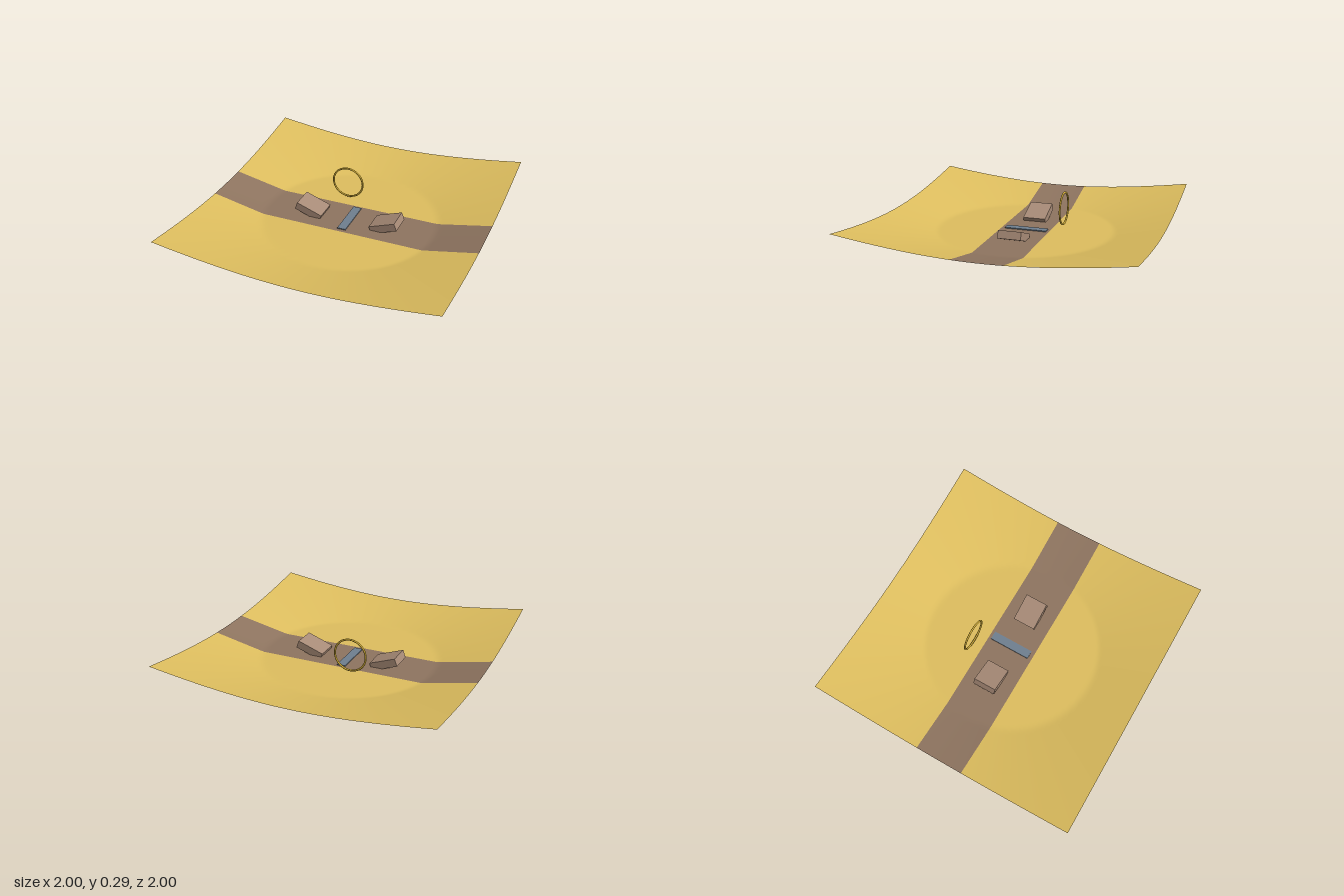
import * as THREE from 'three';

const paint = (color, extra = {}) => new THREE.MeshStandardMaterial({ color, ...extra });

function addMesh(parent, name, geometry, material, x = 0, y = 0, z = 0) {
  const mesh = new THREE.Mesh(geometry, material);
  mesh.name = name;
  mesh.position.set(x, y, z);
  parent.add(mesh);
  return mesh;
}

// Flat disc in the middle, rising as a shallow cone outside it
const FLOOR = 0.028, DISC = 0.63, SLOPE = 0.213;
const groundHeight = (x, z) => FLOOR + SLOPE * Math.max(0, Math.hypot(x, z) - DISC);

// A strip of the dished ground between two z values
function groundStrip(z0, z1, rows) {
  const g = new THREE.PlaneGeometry(2, z1 - z0, 80, rows);
  g.rotateX(-Math.PI / 2).translate(0, 0, (z0 + z1) / 2);
  const p = g.attributes.position;
  for (let i = 0; i < p.count; i++) p.setY(i, groundHeight(p.getX(i), p.getZ(i)));
  g.computeVertexNormals();
  return g;
}

export function createModel() {
  const model = new THREE.Group();
  model.name = 'arena';

  // Dished ground with a path across the middle
  const sand = paint(0xdfbf5f, { side: THREE.DoubleSide });
  const earth = paint(0x8f7560, { side: THREE.DoubleSide });
  const band = 0.177;
  addMesh(model, 'backGround', groundStrip(-1, -band, 34), sand);
  addMesh(model, 'path', groundStrip(-band, band, 14), earth);
  addMesh(model, 'frontGround', groundStrip(band, 1, 34), sand);

  // Pair of tilted ramp blocks, high ends outwards
  const rampGeometry = new THREE.BoxGeometry(0.2, 0.057, 0.166);
  const rampMaterial = paint(0xa98c78);
  for (const side of [1, -1]) {
    const ramp = addMesh(model, side > 0 ? 'leftRamp' : 'rightRamp', rampGeometry, rampMaterial,
      side * 0.287 - 0.006, 0.061, -0.003);
    ramp.rotation.z = side * THREE.MathUtils.degToRad(20);
  }

  // Thin bar laid across the path
  addMesh(model, 'crossBar', new THREE.BoxGeometry(0.062, 0.012, 0.305), paint(0x708090), -0.003, 0.029, -0.004);

  // Upright hoop behind the path
  addMesh(model, 'hoop', new THREE.TorusGeometry(0.115, 0.007, 8, 48), paint(0xd4af37), -0.116, 0.172, -0.25);

  return model;
}
